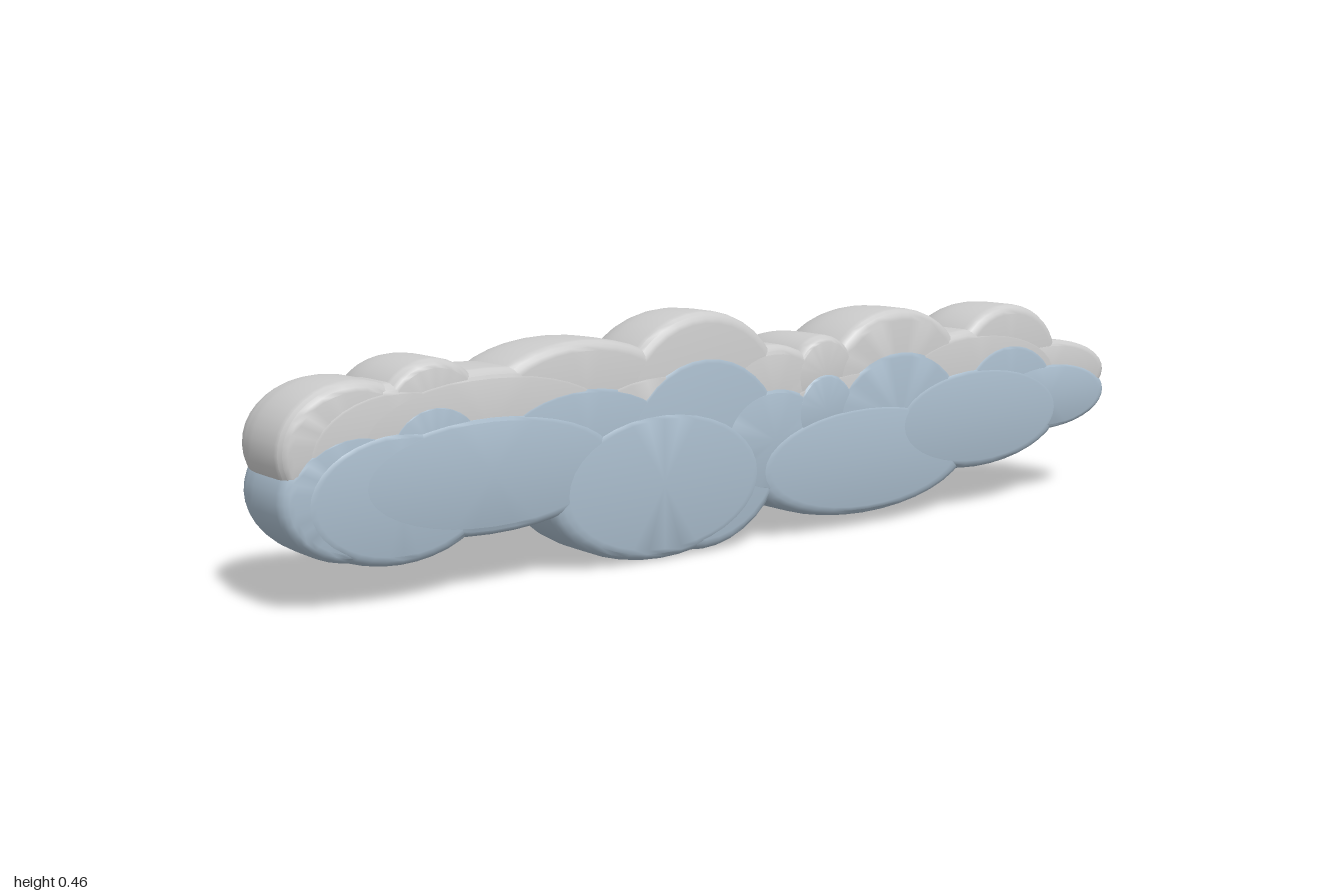
import * as THREE from 'three';
import { toCreasedNormals } from 'three/addons/utils/BufferGeometryUtils.js';

const FRONT = 0.14; // flat face of the cloud
const MID = 0.05;   // depth at which a puff is widest

// Each puff: centre x, centre y, radius x, radius y, back z, drop of its shaded copy
const PUFFS = [
  // upper crown, from right to left
  [-0.86, 0.28, 0.14, 0.115, -0.11, 0.08],
  [-0.71, 0.32, 0.105, 0.10, -0.125, 0.07],
  [-0.40, 0.31, 0.22, 0.12, -0.12, 0.075],
  [-0.13, 0.275, 0.20, 0.19, -0.12, 0.075],
  [0.04, 0.28, 0.14, 0.11, -0.12, 0.075],
  [0.17, 0.32, 0.08, 0.08, -0.125, 0.07],
  [0.37, 0.29, 0.19, 0.15, -0.135, 0.075],
  [0.69, 0.31, 0.15, 0.12, -0.10, 0.075],
  [0.81, 0.27, 0.19, 0.075, -0.09, 0.045],
  // broad lower body
  [-0.78, 0.265, 0.19, 0.12, -0.11, 0.075],
  [-0.60, 0.285, 0.29, 0.11, -0.14, 0.075],
  [-0.23, 0.225, 0.25, 0.144, -0.138, 0.075],
  [0.28, 0.22, 0.30, 0.115, -0.14, 0.075],
  [0.60, 0.275, 0.26, 0.11, -0.11, 0.075],
];

// Lathed puff: domed at the back, straight sides, small rounded rim, flat front
function puffGeometry(rx, ry, back, front) {
  const profile = [];
  const n = 2.4, steps = 16;
  for (let i = 0; i <= steps; i++) {
    const a = (i / steps) * Math.PI / 2;
    const r = Math.pow(Math.sin(a), 2 / n);
    const z = MID - (MID - back) * Math.pow(Math.max(Math.cos(a), 0), 2 / n);
    profile.push(new THREE.Vector2(i === 0 ? 0 : r, z));
  }
  const inset = Math.min(0.16, 0.022 / ry);
  for (let i = 0; i <= 4; i++) {
    const a = (i / 4) * Math.PI / 2;
    profile.push(new THREE.Vector2(1 - inset * (1 - Math.cos(a)), front - 0.025 * (1 - Math.sin(a))));
  }
  profile.push(new THREE.Vector2(0, front));
  const geometry = new THREE.LatheGeometry(profile, 36);
  geometry.rotateX(Math.PI / 2);
  geometry.scale(rx, ry, 1);
  return toCreasedNormals(geometry, 0.7);
}

export function createModel() {
  const cloud = new THREE.Group();
  cloud.name = 'cloud';
  const light = new THREE.MeshStandardMaterial({ color: 0xcccccc });
  const shade = new THREE.MeshStandardMaterial({ color: 0xa9bccc });
  const top = new THREE.Group();
  top.name = 'lightPuffs';
  const under = new THREE.Group();
  under.name = 'shadedPuffs';

  PUFFS.forEach(([x, y, rx, ry, back, drop], i) => {
    // tiny stagger keeps the overlapping flat faces apart
    const stagger = i * 0.0002;
    const lit = new THREE.Mesh(puffGeometry(rx, ry, back, FRONT - 0.004 + stagger / 2), light);
    lit.name = 'lightPuff';
    lit.position.set(x, y, 0);
    top.add(lit);

    // lowered copy forms the shaded underside and front
    const dark = new THREE.Mesh(puffGeometry(rx, ry, back, FRONT - 0.0026 + stagger), shade);
    dark.name = 'shadedPuff';
    dark.position.set(x, y - drop, 0);
    under.add(dark);
  });

  cloud.add(top, under);
  return cloud;
}
